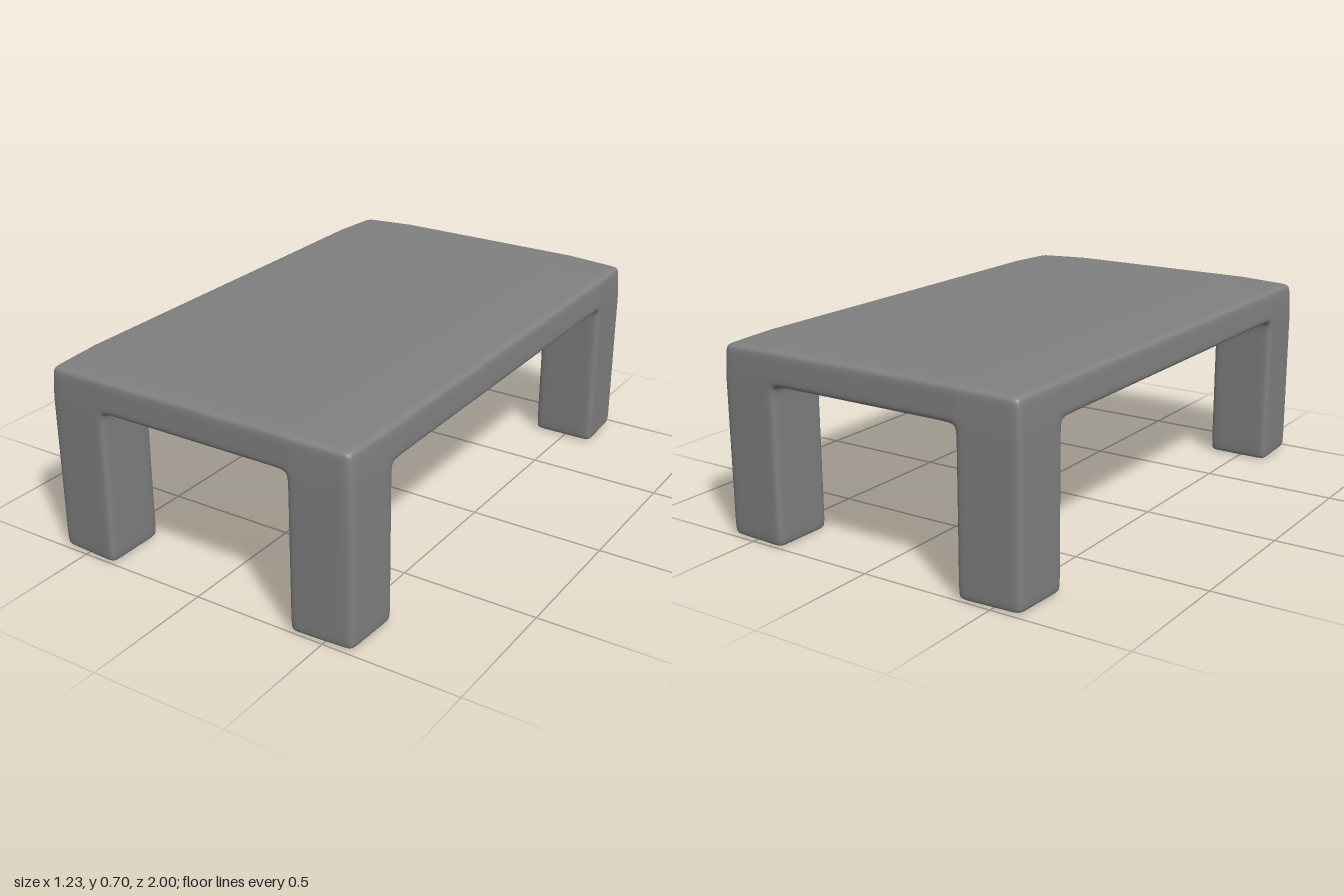
import * as THREE from 'three';

// Grid lines of the control cage; close pairs keep the rounded edges tight
const R = 0.045;
const mirror = (a) => [...a.map((v) => -v).reverse(), ...a];
const LEG_X = 0.371, LEG_Z = 0.762, UNDER = 0.573;
const LINES = [
  mirror([LEG_X - R, LEG_X, LEG_X + R, 0.615 - R, 0.615]),
  [0, 0.035, UNDER - R, UNDER, UNDER + 0.035, 0.664, 0.702],
  mirror([LEG_Z - R, LEG_Z, LEG_Z + R, 1 - R, 1]),
];

// A cell is solid in the top slab or in one of the four corner legs
function solid(cell) {
  if (cell.some((c, a) => c < 0 || c >= LINES[a].length - 1)) return false;
  const [x, y, z] = cell.map((c, a) => (LINES[a][c] + LINES[a][c + 1]) / 2);
  return y > UNDER || (Math.abs(x) > LEG_X && Math.abs(z) > LEG_Z);
}

// Outer quads of all solid cells
function buildCage() {
  const points = [], quads = [], ids = new Map();
  const vertex = (g) => {
    const key = g.join();
    if (!ids.has(key)) {
      ids.set(key, points.length);
      points.push(new THREE.Vector3(...g.map((c, a) => LINES[a][c])));
    }
    return ids.get(key);
  };
  const [nx, ny, nz] = LINES.map((l) => l.length - 1);
  for (let i = 0; i < nx; i++) for (let j = 0; j < ny; j++) for (let k = 0; k < nz; k++) {
    const cell = [i, j, k];
    if (!solid(cell)) continue;
    for (let a = 0; a < 3; a++) for (const s of [-1, 1]) {
      const next = [...cell];
      next[a] += s;
      if (solid(next)) continue;
      const quad = [[0, 0], [1, 0], [1, 1], [0, 1]].map(([u, v]) => {
        const g = [...cell];
        if (s > 0) g[a]++;
        g[(a + 1) % 3] += u;
        g[(a + 2) % 3] += v;
        return vertex(g);
      });
      quads.push(s > 0 ? quad : quad.reverse());
    }
  }
  return { points, quads };
}

// One step of Catmull-Clark smoothing on a closed quad mesh
function subdivide({ points, quads }) {
  const out = points.map(() => new THREE.Vector3());
  const rings = points.map(() => ({ n: 0, faces: new THREE.Vector3(), mids: new THREE.Vector3() }));
  const edges = new Map(), result = [];
  const edgeKey = (a, b) => Math.min(a, b) + '_' + Math.max(a, b);
  const centres = quads.map((q) => {
    const c = new THREE.Vector3();
    q.forEach((i) => c.addScaledVector(points[i], 0.25));
    q.forEach((a, n) => {
      const b = q[(n + 1) % 4], key = edgeKey(a, b);
      rings[a].n++;
      rings[a].faces.add(c);
      if (!edges.has(key)) {
        const mid = points[a].clone().add(points[b]).multiplyScalar(0.5);
        rings[a].mids.add(mid);
        rings[b].mids.add(mid);
        edges.set(key, out.length);
        out.push(mid.clone().multiplyScalar(0.5));
      }
      out[edges.get(key)].addScaledVector(c, 0.25);
    });
    return c;
  });
  points.forEach((p, i) => {
    const { n, faces, mids } = rings[i];
    out[i].copy(p).multiplyScalar((n - 3) / n)
      .addScaledVector(faces, 1 / (n * n)).addScaledVector(mids, 2 / (n * n));
  });
  quads.forEach((q, f) => {
    const c = out.push(centres[f]) - 1;
    q.forEach((a, n) => result.push([
      a, edges.get(edgeKey(a, q[(n + 1) % 4])), c, edges.get(edgeKey(q[(n + 3) % 4], a)),
    ]));
  });
  return { points: out, quads: result };
}

// Slight draw-in of the corners and the upper rim
function taper(p) {
  const ramp = (v, from, to) => THREE.MathUtils.clamp((v - from) / (to - from), 0, 1);
  const s = ramp(Math.abs(p.x), 0.38, 0.6);
  const t = ramp(Math.abs(p.z), 0.77, 0.98);
  const u = ramp(p.y, 0.56, 0.68) ** 1.5;
  p.x -= Math.sign(p.x) * s * (0.009 * t + 0.006 * u);
  p.z -= Math.sign(p.z) * t * (0.011 * s + 0.003 * u);
  p.y -= u * (0.007 * s + 0.005 * t);
}

export function createModel() {
  const group = new THREE.Group();
  group.name = 'table';

  // Top and four legs flow into each other as one smooth body
  let mesh = buildCage();
  for (let i = 0; i < 3; i++) mesh = subdivide(mesh);
  mesh.points.forEach(taper);

  const geometry = new THREE.BufferGeometry().setFromPoints(mesh.points);
  geometry.setIndex(mesh.quads.flatMap(([a, b, c, d]) => [a, b, c, a, c, d]));
  geometry.computeVertexNormals();

  const body = new THREE.Mesh(geometry, new THREE.MeshStandardMaterial({ color: 0x808080 }));
  body.name = 'tableTopWithLegs';
  group.add(body);
  return group;
}
